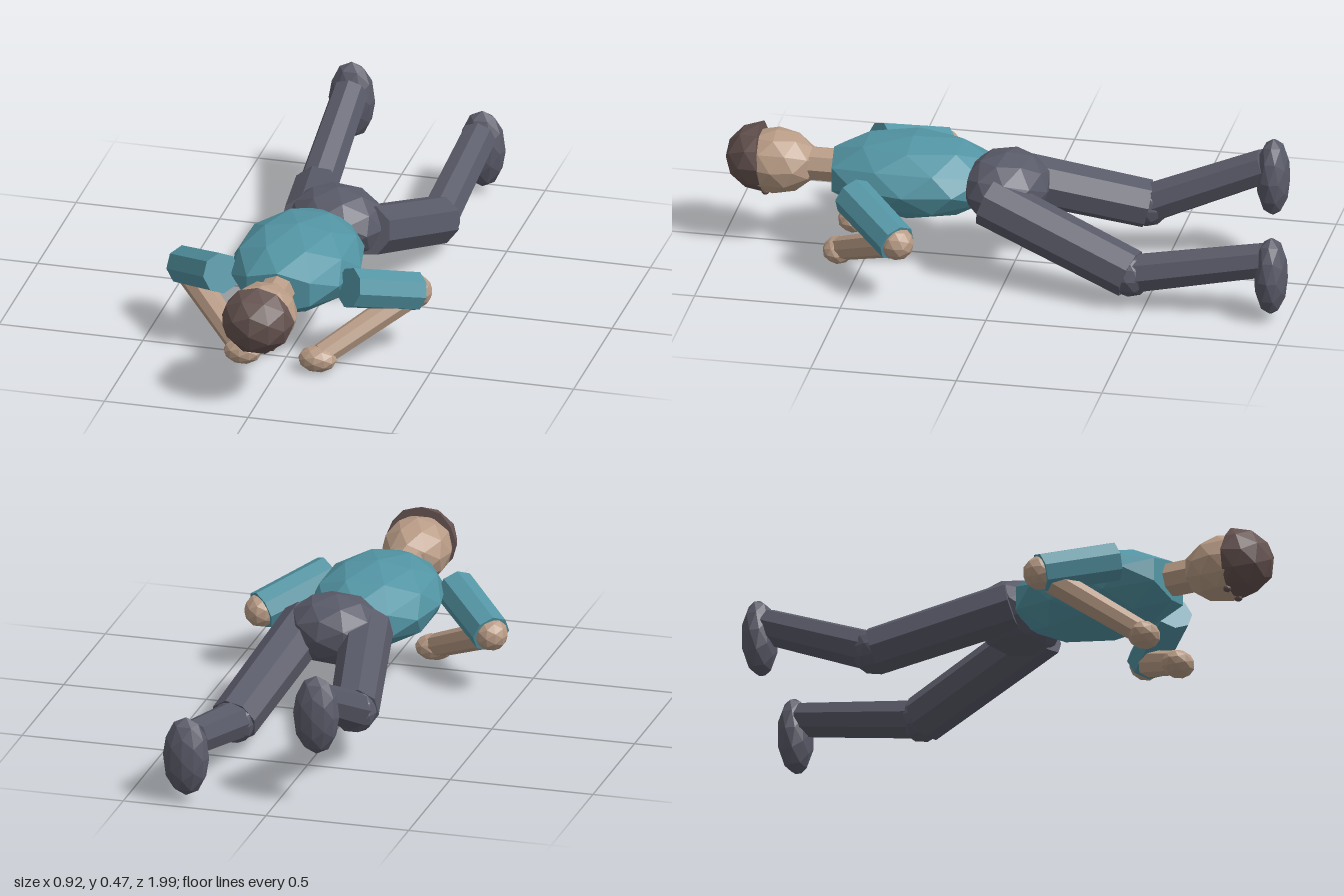
import * as THREE from 'three';

const mat = (name, color) => {
  const m = new THREE.MeshStandardMaterial({ color, flatShading: true });
  m.name = name;
  return m;
};

export function createModel() {
  const skin = mat('skin', 0xb99c86);
  const shirt = mat('shirt teal', 0x5395a4);
  const trousers = mat('trousers slate', 0x5a5b69);
  const hair = mat('hair brown', 0x655350);

  const model = new THREE.Group();
  model.name = 'lyingFigure';

  const add = (name, geometry, material, parent = model) => {
    const mesh = new THREE.Mesh(geometry, material);
    mesh.name = name;
    parent.add(mesh);
    return mesh;
  };

  // Faceted ellipsoid; zMin and zMax flatten its ends (in unit-sphere terms)
  const blob = (name, material, center, radii, parent, zMin = -1, zMax = 1) => {
    const g = new THREE.IcosahedronGeometry(1, 1);
    const p = g.attributes.position;
    for (let i = 0; i < p.count; i++) {
      p.setZ(i, THREE.MathUtils.clamp(p.getZ(i), zMin, zMax));
    }
    g.scale(...radii);
    g.computeVertexNormals();
    const mesh = add(name, g, material, parent);
    mesh.position.set(...center);
    return mesh;
  };

  // Eight-sided limb running from a to b
  const limb = (name, material, a, b, ra, rb, parent) => {
    const from = new THREE.Vector3(...a), to = new THREE.Vector3(...b);
    const dir = to.clone().sub(from);
    const mesh = add(name, new THREE.CylinderGeometry(rb, ra, dir.length(), 8), material, parent);
    mesh.position.copy(from).add(to).multiplyScalar(0.5);
    mesh.quaternion.setFromUnitVectors(new THREE.Vector3(0, 1, 0), dir.normalize());
    return mesh;
  };

  // Trunk
  blob('torso', shirt, [0, 0.291, 0.35], [0.22, 0.137, 0.32], model, -1, 0.851);
  const pelvis = blob('pelvis', trousers, [0.05, 0.297, 0.02], [0.175, 0.123, 0.148], model);
  pelvis.rotation.y = -0.2;

  // Neck and head, face turned down
  limb('neck', skin, [0, 0.295, 0.55], [0, 0.295, 0.74], 0.06, 0.06);
  blob('head', skin, [0, 0.296, 0.82], [0.12, 0.112, 0.145], model);
  const cap = blob('hair', hair, [0, 0.307, 0.865], [0.126, 0.119, 0.13], model, 0);
  cap.rotation.x = 0.1;

  for (const s of [1, -1]) {
    const side = s > 0 ? 'left' : 'right';
    blob(side + 'Eye', hair, [s * 0.042, 0.197, 0.85], [0.014, 0.012, 0.014], model);

    // Arm: sleeve, elbow, forearm and hand
    const arm = new THREE.Group();
    arm.name = side + 'Arm';
    model.add(arm);
    const elbow = [s * 0.403, 0.213, 0.325], wrist = [s * 0.14, 0.055, 0.57];
    limb('sleeve', shirt, [s * 0.222, 0.29, 0.515], elbow, 0.07, 0.068, arm);
    blob('elbow', skin, elbow, [0.058, 0.058, 0.058], arm);
    limb('forearm', skin, elbow, wrist, 0.047, 0.041, arm);
    blob('hand', skin, [s * 0.13, 0.045, 0.58], [0.067, 0.045, 0.055], arm);
  }

  // Legs: thigh, knee, shin and foot
  const legs = [
    { name: 'leftLeg', hip: [0.165, 0.29, 0.06], knee: [0.273, 0.112, -0.45],
      ankle: [0.291, 0.212, -0.91], foot: [0.298, 0.16, -0.938] },
    { name: 'rightLeg', hip: [-0.05, 0.295, 0.05], knee: [-0.142, 0.185, -0.425],
      ankle: [-0.133, 0.365, -0.83], foot: [-0.135, 0.326, -0.858] },
  ];
  for (const { name, hip, knee, ankle, foot } of legs) {
    const leg = new THREE.Group();
    leg.name = name;
    model.add(leg);
    limb('thigh', trousers, hip, knee, 0.088, 0.084, leg);
    blob('knee', trousers, knee, [0.078, 0.078, 0.078], leg);
    limb('shin', trousers, knee, ankle, 0.069, 0.062, leg);
    blob('foot', trousers, foot, [0.081, 0.14, 0.058], leg);
  }

  return model;
}
